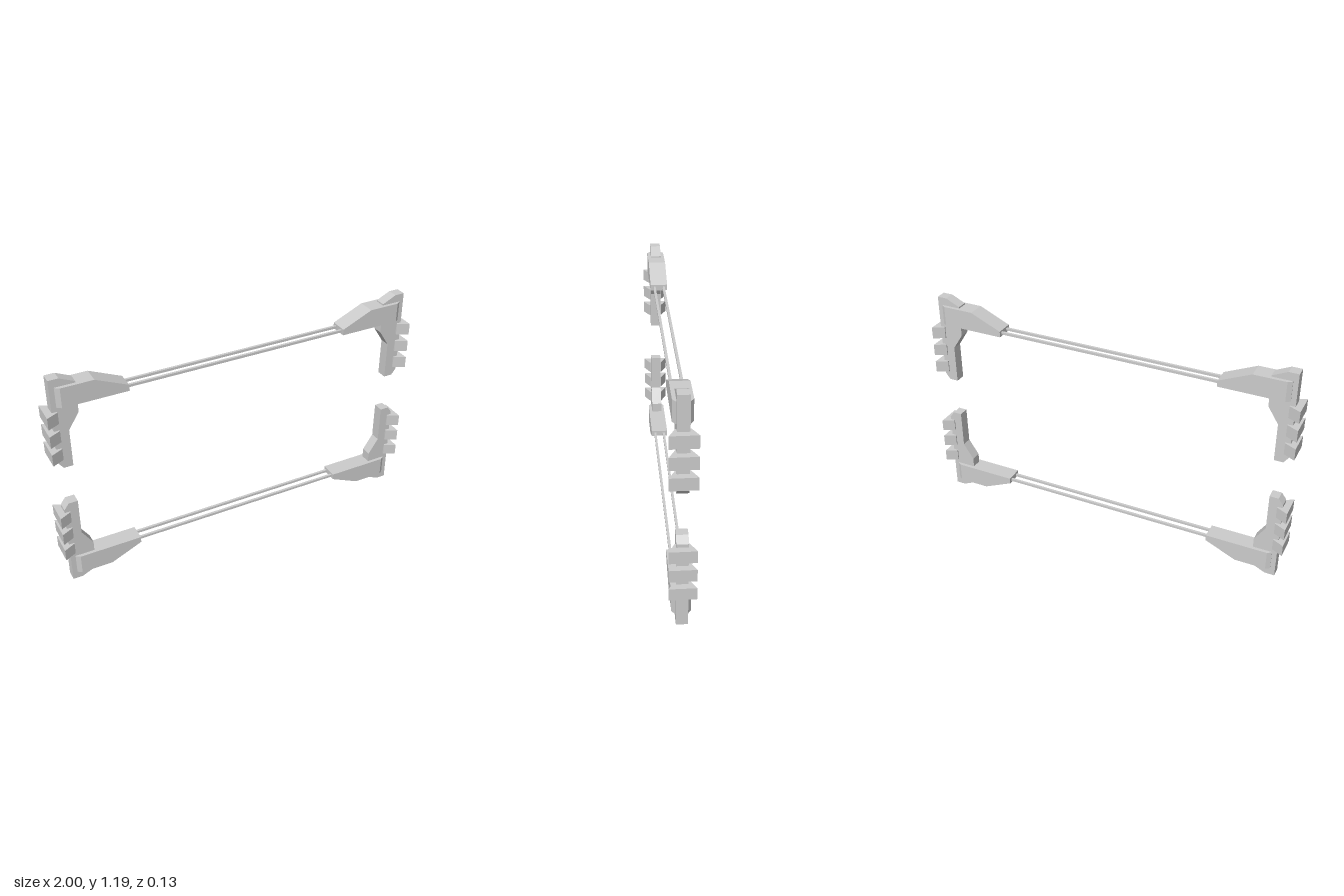
import * as THREE from 'three';

const MID = 0.595; // height of the horizontal symmetry plane

export function createModel() {
  const model = new THREE.Group();
  const material = new THREE.MeshStandardMaterial({ color: 0xcccccc, flatShading: true });

  // Extrude a closed outline, centred on its depth
  const slab = (points, depth) => {
    const shape = new THREE.Shape(points.map(([x, y]) => new THREE.Vector2(x, y)));
    return new THREE.ExtrudeGeometry(shape, { depth, bevelEnabled: false }).translate(0, 0, -depth / 2);
  };

  // Upright bracket outline, relative to the symmetry plane
  const bracketGeo = slab([
    [0.967, 1.19], [0.915, 1.19], [0.84, 1.155], [0.84, 0.99],
    [0.895, 0.905], [0.895, 0.703], [0.942, 0.703], [0.967, 0.737],
  ].map(([x, y]) => [x, y - MID]).reverse(), 0.056);

  // Arm: box sections along x as [x, top, half depth]; tapers inward, chamfered at the outer end
  const sections = [[0.59, 1.075, 0.046], [0.755, 1.148, 0.046], [0.92, 1.148, 0.046], [0.942, 1.148, 0.031]];
  const armGeo = new THREE.BoxGeometry(3, 2, 2, 3, 1, 1);
  const pos = armGeo.attributes.position;
  for (let i = 0; i < pos.count; i++) {
    const [x, top, half] = sections[Math.round(pos.getX(i) + 1.5)];
    pos.setXYZ(i, x, (pos.getY(i) > 0 ? top : 1.043) - MID, Math.sign(pos.getZ(i)) * half);
  }
  const armFlat = armGeo.toNonIndexed();
  armFlat.computeVertexNormals();

  // Tooth: wedge in plan, flaring outwards
  const toothGeo = slab([[0.94, -0.034], [1, -0.065], [1, 0.065], [0.94, 0.034]], 0.063).rotateX(-Math.PI / 2);

  // Four corners: half turns of the same corner
  const turns = {
    upperLeft: [0, 0, 0], upperRight: [0, Math.PI, 0],
    lowerLeft: [Math.PI, 0, 0], lowerRight: [0, 0, Math.PI],
  };
  for (const [name, turn] of Object.entries(turns)) {
    const corner = new THREE.Group();
    corner.name = name + 'Corner';
    const add = (geo, part, y = 0) => {
      const mesh = new THREE.Mesh(geo, material);
      mesh.name = part;
      mesh.position.y = y;
      corner.add(mesh);
    };
    add(bracketGeo, 'bracket');
    add(armFlat, 'arm');
    [0.988, 0.886, 0.785].forEach((y, i) => add(toothGeo, 'tooth' + (i + 1), y - MID));
    corner.rotation.set(...turn);
    corner.position.y = MID;
    model.add(corner);
  }

  // Paired rods joining the arms
  const rodGeo = new THREE.BoxGeometry(1.22, 0.013, 0.013);
  for (const side of [1, -1]) {
    for (const z of [0.025, -0.025]) {
      const rod = new THREE.Mesh(rodGeo, material);
      rod.name = side > 0 ? 'upperRod' : 'lowerRod';
      rod.position.set(0, MID + side * 0.465, z);
      model.add(rod);
    }
  }
  return model;
}
